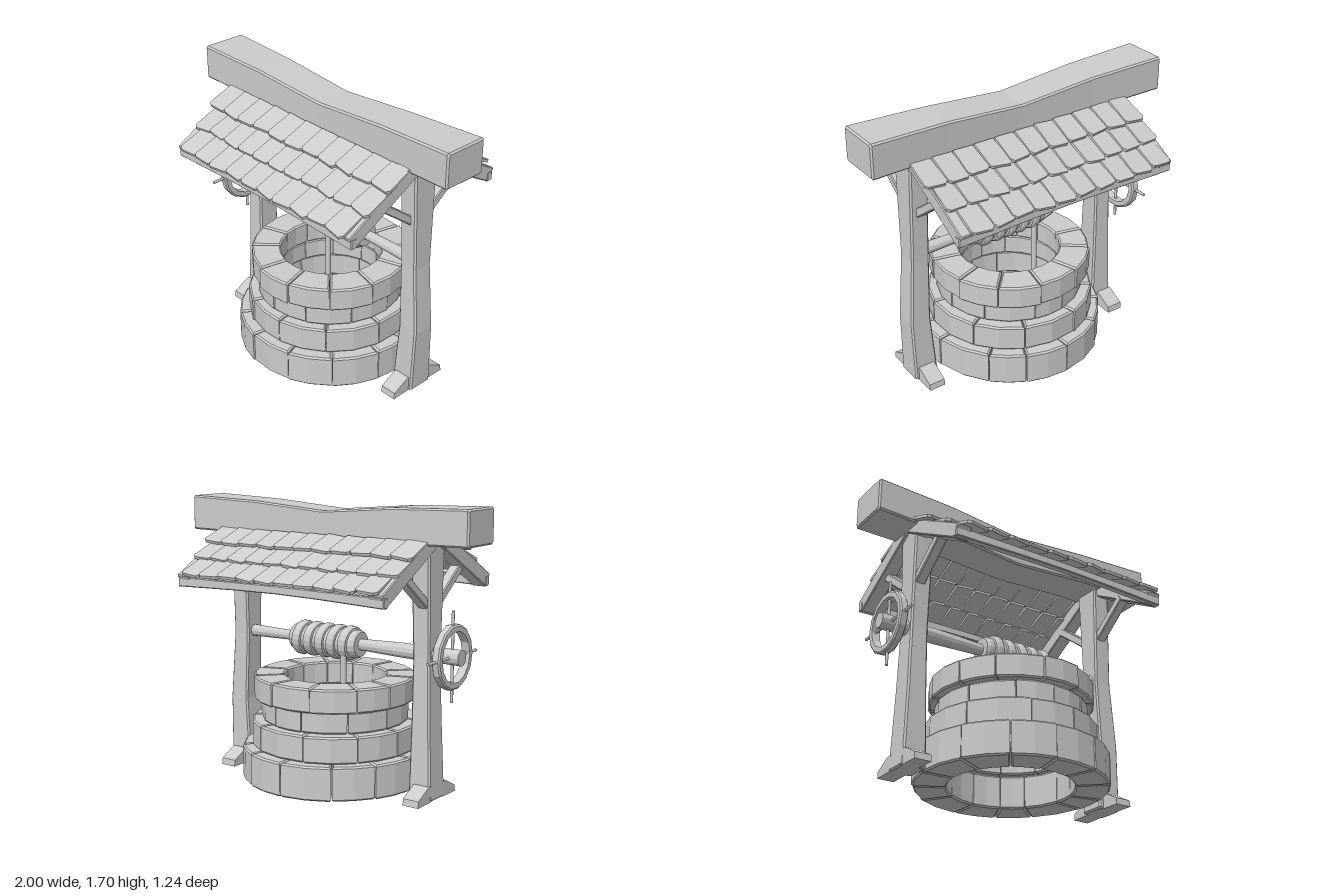
import * as THREE from 'three';

const mat = new THREE.MeshStandardMaterial({ color: 0xcccccc, flatShading: true });
const smoothMat = new THREE.MeshStandardMaterial({ color: 0xcccccc });
const Y = new THREE.Vector3(0, 1, 0);

// Small seeded jitter in -1..1
let seed = 7;
const jitter = () => {
  seed = (seed * 16807) % 2147483647;
  return (seed / 2147483647) * 2 - 1;
};

// Chamfered timber along +y; each section is [y, centreX, centreZ, halfX, halfZ]
function timber(sections, c = 0.01) {
  const first = sections[0], last = sections[sections.length - 1];
  const shrink = (s, y) => [y, s[1], s[2], s[3] - c, s[4] - c];
  const all = [shrink(first, first[0]), [first[0] + c, ...first.slice(1)], ...sections.slice(1, -1),
    [last[0] - c, ...last.slice(1)], shrink(last, last[0])];
  const pos = [], idx = [];
  for (const [y, cx, cz, hx, hz] of all) {
    const ring = [[hx, -hz + c], [hx, hz - c], [hx - c, hz], [-hx + c, hz],
      [-hx, hz - c], [-hx, -hz + c], [-hx + c, -hz], [hx - c, -hz]];
    for (const [x, z] of ring) pos.push(cx + x, y, cz + z);
  }
  const top = (all.length - 1) * 8;
  for (let i = 0; i < top; i += 8) {
    for (let k = 0; k < 8; k++) {
      const a = i + k, b = i + (k + 1) % 8;
      idx.push(a, a + 8, b + 8, a, b + 8, b);
    }
  }
  for (let k = 1; k < 7; k++) idx.push(0, k, k + 1, top, top + k + 1, top + k);
  const g = new THREE.BufferGeometry();
  g.setAttribute('position', new THREE.Float32BufferAttribute(pos, 3));
  g.setIndex(idx);
  const flat = g.toNonIndexed();
  flat.computeVertexNormals();
  return flat;
}

function add(parent, name, geometry, material = mat) {
  const mesh = new THREE.Mesh(geometry, material);
  mesh.name = name;
  parent.add(mesh);
  return mesh;
}

// Straight timber between two points
function strut(parent, name, a, b, hx, hz) {
  const from = new THREE.Vector3(...a), dir = new THREE.Vector3(...b).sub(from);
  const len = dir.length();
  const mesh = add(parent, name, timber([[0, 0, 0, hx, hz], [len, 0, 0, hx, hz]], 0.006));
  mesh.position.copy(from);
  mesh.quaternion.setFromUnitVectors(Y, dir.normalize());
}

// Lathe turned round the x axis; points are [radius, x]
function turned(points, sides) {
  return new THREE.LatheGeometry(points.map(([r, x]) => new THREE.Vector2(r, x)), sides).rotateZ(-Math.PI / 2);
}

// One course of separate bevelled stones
function stoneCourse(name, y0, y1, inner, outer, count, turn) {
  const group = new THREE.Group(), b = 0.01;
  group.name = name;
  const cuts = Array.from({ length: count }, (_, i) => turn + (i + jitter() * 0.14) * 2 * Math.PI / count);
  cuts.push(cuts[0] + 2 * Math.PI);
  for (let i = 0; i < count; i++) {
    const pts = [], out = outer - b + jitter() * 0.006;
    const arc = (r, t) => {
      const gap = (b + 0.002) / r, a0 = cuts[i] + gap, a1 = cuts[i + 1] - gap;
      const a = a0 + (a1 - a0) * t;
      pts.push(new THREE.Vector2(Math.cos(a) * r, Math.sin(a) * r));
    };
    [0, 0.5, 1].forEach((t) => arc(out, t));
    [1, 0.5, 0].forEach((t) => arc(inner + b, t));
    const g = new THREE.ExtrudeGeometry(new THREE.Shape(pts), {
      depth: y1 - y0 - 2 * b, bevelEnabled: true, bevelSize: b, bevelThickness: b, bevelSegments: 1,
    });
    add(group, 'stone', g.rotateX(-Math.PI / 2).translate(0, y0 + b, 0));
  }
  return group;
}

// Three overlapping rows of uneven shingles on one slope
function shingleSlope() {
  const slope = new THREE.Group();
  slope.name = 'shingles';
  const rows = [[-0.77, 0.74, 11, 0.13, 1.508], [-0.73, 0.74, 11, 0.27, 1.425], [-0.68, 0.71, 10, 0.425, 1.346]];
  for (const [x0, x1, count, z, y] of rows) {
    const step = (x1 - x0) / count;
    for (let i = 0; i < count; i++) {
      const w = step / 2 + 0.002, len = 0.19 + jitter() * 0.007, r = 0.018, skew = jitter() * 0.008;
      const s = new THREE.Shape();
      s.moveTo(-w + 0.006, 0);
      s.lineTo(-w, -len + r);
      s.lineTo(-w + r, -len + skew);
      s.lineTo(w - r, -len - skew);
      s.lineTo(w, -len + r);
      s.lineTo(w - 0.006, 0);
      const g = new THREE.ExtrudeGeometry(s, { depth: 0.018, bevelEnabled: false });
      const tile = add(slope, 'shingle', g.rotateY(0.07 + jitter() * 0.03).rotateZ(jitter() * 0.03));
      tile.rotation.x = -(Math.PI / 2 - 0.385);
      tile.position.set(x0 + (i + 0.5) * step, y, z);
    }
  }
  return slope;
}

export function createModel() {
  const model = new THREE.Group();
  model.name = 'well';

  // Stone shaft
  const shaft = new THREE.Group();
  shaft.name = 'stoneShaft';
  shaft.add(stoneCourse('baseCourse', 0.03, 0.235, 0.37, 0.57, 13, 0.2));
  shaft.add(stoneCourse('secondCourse', 0.235, 0.395, 0.34, 0.51, 10, 0.5));
  shaft.add(stoneCourse('thirdCourse', 0.395, 0.525, 0.32, 0.45, 11, 0.1));
  shaft.add(stoneCourse('rimCourse', 0.525, 0.67, 0.31, 0.492, 12, 0.3));
  shaft.position.set(0.005, 0, 0.02);
  model.add(shaft);

  // Ridge beam, sagging and narrowing in the middle
  add(model, 'ridgeBeam', timber([
    [-1, -1.607, -0.005, 0.105, 0.142], [-0.5, -1.597, 0, 0.103, 0.13], [0, -1.56, 0, 0.1, 0.12],
    [0.5, -1.595, 0, 0.102, 0.127], [1, -1.607, -0.005, 0.107, 0.142],
  ]).rotateZ(-Math.PI / 2));

  // Posts
  add(model, 'rightPost', timber([
    [0.012, -0.67, 0, 0.075, 0.082], [0.5, -0.664, 0, 0.061, 0.073],
    [0.85, -0.66, 0, 0.056, 0.066], [1.52, -0.656, 0, 0.062, 0.086],
  ]));
  add(model, 'leftPost', timber([
    [0.012, 0.685, 0, 0.077, 0.082], [0.43, 0.705, 0, 0.066, 0.073],
    [0.85, 0.684, 0, 0.058, 0.066], [1.52, 0.68, 0, 0.058, 0.086],
  ]));

  // Foot wedges, rafters, braces and eave boards on both slopes
  const footShape = new THREE.Shape([[0.06, 0.012], [0.205, 0.01], [0.2, 0.05], [0.095, 0.105], [0.06, 0.105]]
    .map(([z, y]) => new THREE.Vector2(z, y)));
  for (const side of [1, -1]) {
    const half = new THREE.Group();
    half.name = side > 0 ? 'frontSlope' : 'backSlope';
    for (const x of [-0.69, 0.69]) {
      const foot = new THREE.ExtrudeGeometry(footShape, { depth: 0.104, bevelEnabled: false });
      add(half, 'footWedge', foot.translate(0, 0, -0.052).rotateY(-Math.PI / 2).translate(x, 0, 0));
      strut(half, 'rafter', [x, 1.53, 0.03], [x, 1.235, 0.56], 0.047, 0.044);
      const bx = x * 0.975;
      strut(half, 'brace', [bx, 1.137, 0.03], [bx, 1.35, 0.31], 0.032, 0.025);
    }
    add(half, 'eaveBoard', timber([
      [-0.74, -1.232, 0.545, 0.03, 0.022], [-0.3, -1.24, 0.545, 0.025, 0.022], [0, -1.243, 0.545, 0.024, 0.022],
      [0.3, -1.24, 0.545, 0.025, 0.022], [0.74, -1.232, 0.545, 0.03, 0.022],
    ], 0.005).rotateZ(-Math.PI / 2));
    half.add(shingleSlope());
    if (side < 0) half.rotation.y = Math.PI;
    model.add(half);
  }

  // Windlass: axle, drum, rope coils and hanging rope
  const windlass = new THREE.Group();
  windlass.name = 'windlass';
  windlass.position.y = 0.867;
  model.add(windlass);
  add(windlass, 'axle', turned([[0, -0.89], [0.047, -0.89], [0.045, -0.5], [0.035, -0.2],
    [0.03, 0.3], [0.038, 0.65], [0, 0.65]], 12));
  add(windlass, 'drum', turned([[0, -0.2], [0.075, -0.2], [0.085, -0.185], [0.085, 0.275], [0.075, 0.29], [0, 0.29]], 16));
  for (let i = 0; i < 5; i++) {
    const coil = add(windlass, 'ropeCoil', turned([[0.07, -0.034], [0.098, -0.028], [0.106, -0.014],
      [0.106, 0.014], [0.098, 0.028], [0.07, 0.034]], 20));
    coil.position.x = -0.12 + i * 0.086;
    coil.rotation.z = 0.08;
  }
  add(windlass, 'hangingRope', new THREE.CylinderGeometry(0.018, 0.018, 0.5, 10).translate(-0.12, -0.25, -0.07), smoothMat);

  // Hand wheel with crossed handle bars
  const wheel = new THREE.Group();
  wheel.name = 'handWheel';
  wheel.position.x = -0.828;
  windlass.add(wheel);
  add(wheel, 'rim', turned([[0.15, -0.026], [0.18, -0.026], [0.19, -0.018], [0.19, 0.018],
    [0.18, 0.026], [0.15, 0.026], [0.15, -0.026]], 14));
  for (const turn of [0, Math.PI / 2]) {
    add(wheel, 'handleBar', new THREE.CylinderGeometry(0.009, 0.009, 0.53, 8).rotateX(turn), smoothMat);
  }
  return model;
}
